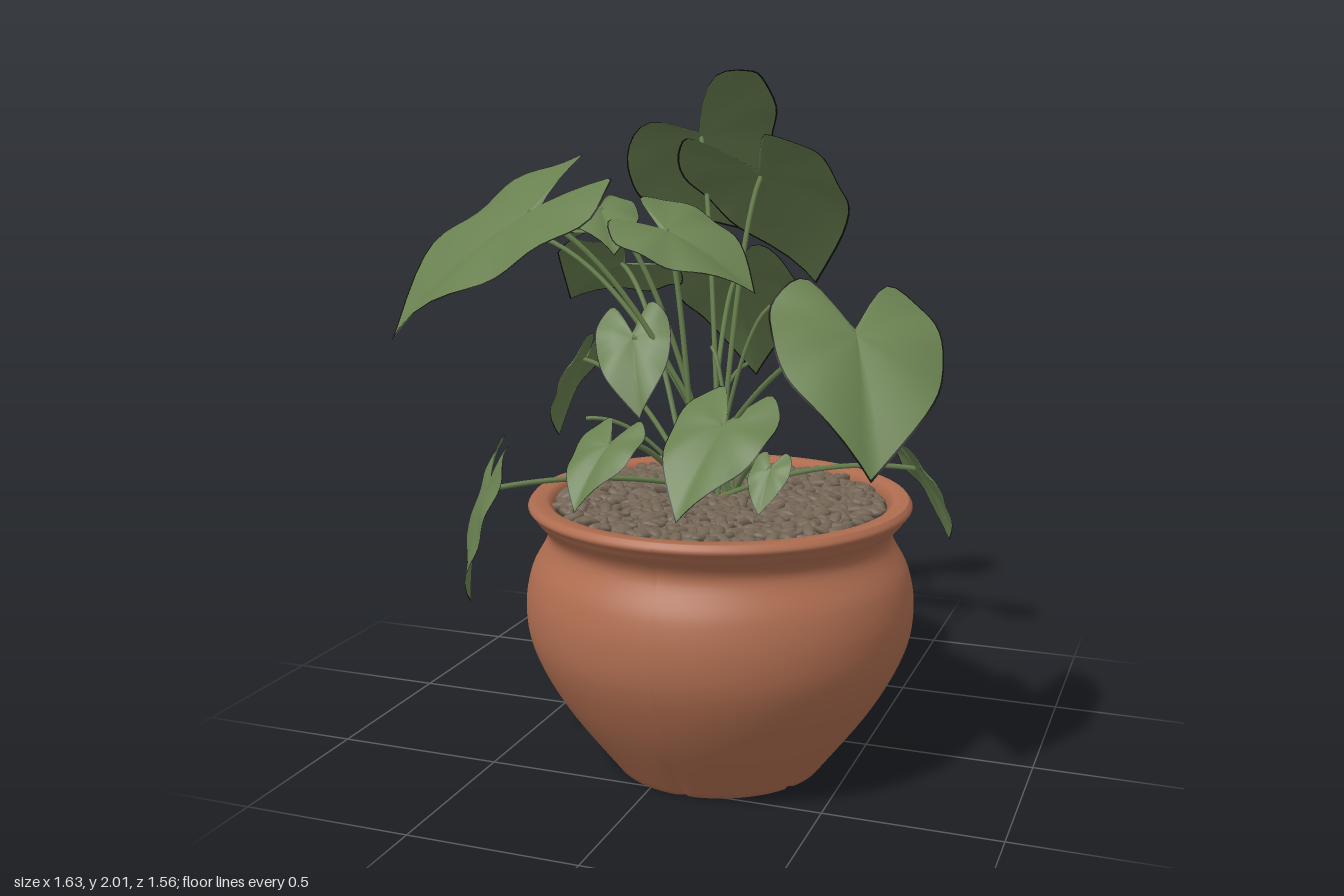
import * as THREE from 'three';
import { mergeGeometries } from 'three/addons/utils/BufferGeometryUtils.js';

const material = (name, color, side = THREE.FrontSide) => {
  const m = new THREE.MeshStandardMaterial({ color, side });
  m.name = name;
  return m;
};
const terracotta = material('terracotta', 0xaf6d50);
const leafGreen = material('leafGreen', 0x698050, THREE.DoubleSide);
const leafMargin = material('leafMargin', 0x12140e, THREE.DoubleSide);
const stemGreen = material('stemGreen', 0x647c4b);
const gravelBrown = material('gravelBrown', 0x736555);
const soilBrown = material('soilBrown', 0x3f352b);

let seed = 7;
const rand = () => (seed = (seed * 16807) % 2147483647) / 2147483647;

// Half heart outline: radius every 30 degrees from tip to notch
const heart = new THREE.SplineCurve([1, 0.68, 0.57, 0.53, 0.545, 0.5, 0.06].map((r, i) => {
  const a = (i * Math.PI) / 6;
  return new THREE.Vector2(r * Math.cos(a), r * Math.sin(a));
}));

// Heart-shaped blade from stalk joint to tip, rolled about its midrib
function leafGeometry(joint, tip, roll, width) {
  const along = tip.clone().sub(joint);
  const len = along.length();
  const level = new THREE.Vector3(-along.z, 0, along.x).normalize();
  const dir = along.clone().normalize();
  const across = level.applyAxisAngle(dir, -THREE.MathUtils.degToRad(roll));
  const up = across.clone().cross(dir);
  const half = 24, n = half * 2, w = n + 1;
  const rings = [0, 0.25, 0.5, 0.75, 0.98, 1];
  const pos = [], index = [];
  for (const k of rings) {
    for (let i = 0; i <= n; i++) {
      const q = heart.getPoint(Math.abs(i - half) / half);
      const a = q.x * k, b = q.y * k * Math.sign(i - half), s = Math.abs(b);
      const wave = 0.022 * k * k * Math.sin(i * 0.8 + joint.x * 20);
      const lift = len * (0.19 * a * (1 - a) + 0.3 * s - 0.6 * s * s + wave);
      const p = joint.clone().addScaledVector(along, a)
        .addScaledVector(across, b * len * width).addScaledVector(up, lift);
      pos.push(p.x, p.y, p.z);
    }
  }
  for (let r = 0; r < rings.length - 1; r++) {
    for (let i = 0; i < n; i++) {
      const a = r * w + i;
      index.push(a, a + w, a + 1, a + 1, a + w, a + w + 1);
    }
  }
  const g = new THREE.BufferGeometry();
  g.setAttribute('position', new THREE.Float32BufferAttribute(pos, 3));
  g.setIndex(index);
  g.computeVertexNormals();
  // The last ring is the dark margin
  const inner = (rings.length - 2) * n * 6;
  g.addGroup(0, inner, 0);
  g.addGroup(inner, n * 6, 1);
  return g;
}

// Leaves: joint x y z, tip x y z, roll in degrees
const broadLeaves = [
  [-0.46, 1.6, 0.28, -0.81, 1.24, 0.48, 15],
  [0.57, 1.32, 0.48, 0.68, 1.0, 0.74, 9],
  [-0.18, 1.8, -0.41, -0.13, 1.47, -0.78, 48],
  [0.11, 1.69, -0.13, 0.2, 1.34, -0.43, 5],
  [-0.37, 1.41, -0.2, -0.64, 1.27, -0.39, -25],
  [-0.58, 1.5, -0.05, -0.83, 1.4, -0.14, 0],
  [-0.08, 1.55, 0.16, 0.19, 1.38, 0.15, -22],
];
const narrowLeaves = [
  [-0.05, 1.35, -0.36, -0.07, 1.0, -0.66, 0],
  [-0.17, 1.24, 0.2, -0.11, 1.02, 0.3, -20],
  [0.15, 1.02, 0.31, 0.09, 0.79, 0.54, 8],
  [-0.49, 0.83, 0.51, -0.54, 0.5, 0.54, 0],
  [0.64, 0.88, 0.05, 0.73, 0.66, -0.01, 0],
  [-0.47, 1.11, -0.12, -0.58, 0.85, -0.15, 14],
  [0.32, 0.93, 0.42, 0.31, 0.82, 0.49, 0],
  [-0.13, 0.98, 0.48, -0.17, 0.82, 0.63, 0],
  [-0.32, 1.6, 0.08, -0.2, 1.48, 0.26, 0],
];

// Arching stalk from the crown of the plant
function buildStalk(end, i, radius, name) {
  const root = new THREE.Vector3(0.05 + 0.07 * Math.cos(i * 2.4), 0.77, 0.15 + 0.07 * Math.sin(i * 2.4));
  const bend = root.clone().lerp(end, 0.5);
  bend.y = root.y + (end.y - root.y) * 0.8 + 0.06;
  const curve = new THREE.QuadraticBezierCurve3(root, bend, end);
  const stalk = new THREE.Mesh(new THREE.TubeGeometry(curve, 20, radius, 6), stemGreen);
  stalk.name = name;
  return stalk;
}

function buildLeaf([x, y, z, tx, ty, tz, roll], width, i) {
  const leaf = new THREE.Group();
  leaf.name = 'leaf' + (i + 1);
  const joint = new THREE.Vector3(x, y, z);
  const geometry = leafGeometry(joint, new THREE.Vector3(tx, ty, tz), roll, width);
  const blade = new THREE.Mesh(geometry, [leafGreen, leafMargin]);
  blade.name = 'blade';
  leaf.add(blade, buildStalk(joint, i, 0.008, 'stalk'));
  return leaf;
}

function buildPot() {
  const pot = new THREE.Group();
  pot.name = 'pot';
  // Underside, belly, neck, rolled rim and inner wall
  const points = (list) => list.map(([r, y]) => new THREE.Vector2(r, y));
  const outer = new THREE.SplineCurve(points([[0.305, 0], [0.455, 0.2], [0.54, 0.36], [0.562, 0.48],
    [0.545, 0.59], [0.497, 0.69], [0.535, 0.755], [0.552, 0.78], [0.54, 0.8]])).getPoints(52);
  const profile = [
    ...points([[0, 0.02], [0.26, 0.02], [0.275, 0]]),
    ...outer,
    ...points([[0.5, 0.798], [0.48, 0.78], [0.48, 0.7]]),
  ];
  const g = new THREE.LatheGeometry(profile, 120);
  // Tapered dents around the foot
  const p = g.attributes.position;
  for (let i = 0; i < p.count; i++) {
    const x = p.getX(i), y = p.getY(i), z = p.getZ(i);
    if (y > 0.14 || Math.hypot(x, z) < 0.29) continue;
    const turn = Math.atan2(x, z) / (Math.PI / 3);
    const off = Math.abs(turn - Math.round(turn)) * (Math.PI / 3);
    const dent = 1 - 0.035 * (1 - y / 0.14) * Math.max(0, 1 - off / 0.06);
    p.setXYZ(i, x * dent, y, z * dent);
  }
  g.computeVertexNormals();
  const body = new THREE.Mesh(g, terracotta);
  body.name = 'potBody';

  const soil = new THREE.Mesh(new THREE.CylinderGeometry(0.482, 0.482, 0.03, 48), soilBrown);
  soil.position.y = 0.755;
  soil.name = 'soil';

  // Overlapping elongated pebbles in a spiral layout
  const pebbles = [];
  const count = 800;
  for (let i = 0; i < count; i++) {
    const r = 0.46 * Math.sqrt((i + 0.5) / count), a = i * 2.39996;
    const s = 0.8 + rand() * 0.5;
    const m = new THREE.Matrix4().compose(
      new THREE.Vector3(r * Math.cos(a), 0.775 + rand() * 0.014, r * Math.sin(a)),
      new THREE.Quaternion().setFromEuler(new THREE.Euler((rand() - 0.5) * 0.8, rand() * 6.28, (rand() - 0.5) * 0.8)),
      new THREE.Vector3(0.031 * s, 0.012 * s, 0.016 * s));
    pebbles.push(new THREE.SphereGeometry(1, 7, 5).applyMatrix4(m));
  }
  const gravel = new THREE.Mesh(mergeGeometries(pebbles), gravelBrown);
  gravel.name = 'gravel';

  pot.add(body, soil, gravel);
  pot.position.set(0.107, 0, 0.22);
  return pot;
}

export function createModel() {
  const model = new THREE.Group();
  model.name = 'pottedPlant';
  const foliage = new THREE.Group();
  foliage.name = 'foliage';
  broadLeaves.forEach((l, i) => foliage.add(buildLeaf(l, 1.02, i)));
  narrowLeaves.forEach((l, i) => foliage.add(buildLeaf(l, 0.85, i + broadLeaves.length)));

  // Thin new shoots without blades
  const shoots = [[0.25, 1.35, 0.2], [-0.3, 1.0, 0.25], [0.02, 1.2, 0.05], [0.12, 1.15, 0.02]];
  shoots.forEach((end, i) => {
    foliage.add(buildStalk(new THREE.Vector3(...end), i + 0.5, 0.006, 'shoot' + (i + 1)));
  });

  model.add(buildPot(), foliage);
  return model;
}
